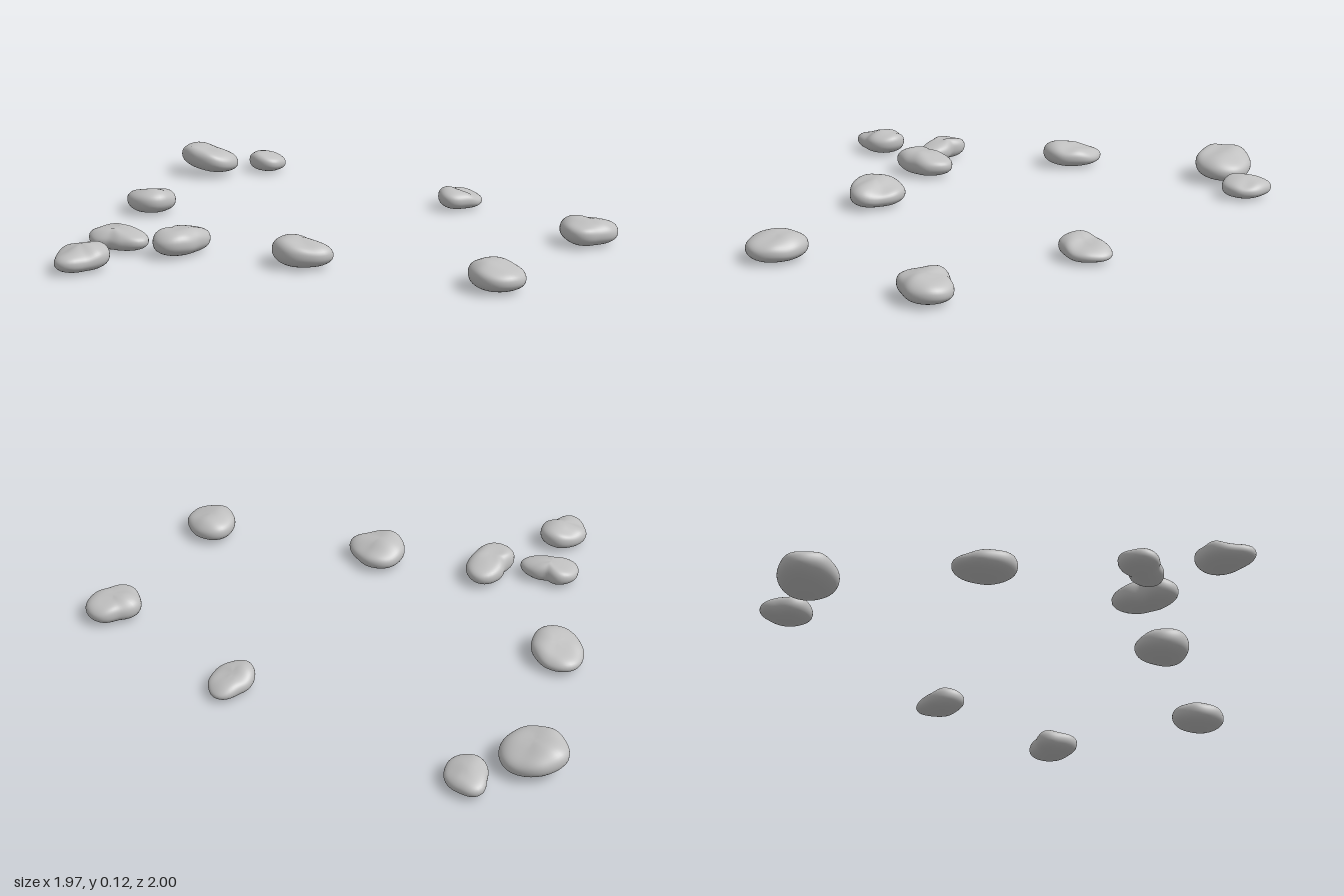
import * as THREE from 'three';
import { mergeVertices } from 'three/addons/utils/BufferGeometryUtils.js';

// x, z: centre; h: height; tx, tz: slope of the top along x and z; lift: how far the -x side is raised;
// r: outline radii in hundredths, every 45 degrees from +x towards +z
const STONES = [
  { x: -0.18, z: -0.89, h: 0.098, tx: -0.1, tz: 0, lift: 0.014, r: [11.1, 11.6, 11.1, 9.8, 10.5, 12.3, 10.8, 10.2] },
  { x: 0.06, z: -0.89, h: 0.074, tx: -0.2, tz: 0.05, lift: 0, r: [7.4, 7.9, 9.0, 8.0, 7.4, 7.2, 9.8, 7.8] },
  { x: -0.52, z: -0.38, h: 0.083, tx: -0.05, tz: 0.24, lift: 0, r: [9.0, 9.8, 11.2, 10.3, 9.0, 10.0, 11.6, 10.0] },
  { x: 0.61, z: -0.11, h: 0.07, tx: -0.3, tz: 0.05, lift: 0, r: [9.0, 8.2, 7.8, 9.5, 8.3, 7.4, 7.4, 10.4] },
  { x: -0.73, z: 0.1, h: 0.077, tx: 0.05, tz: -0.1, lift: 0, r: [8.2, 12.0, 8.0, 6.2, 9.5, 10.6, 9.2, 5.4] },
  { x: -0.53, z: 0.21, h: 0.092, tx: -0.05, tz: 0.05, lift: 0, r: [10.5, 8.0, 9.2, 11.8, 9.8, 6.0, 8.5, 12.2] },
  { x: -0.17, z: 0.46, h: 0.094, tx: -0.18, tz: 0.05, lift: 0, r: [9.4, 12.2, 9.9, 9.6, 9.5, 10.1, 10.6, 10.0] },
  { x: -0.89, z: 0.31, h: 0.083, tx: 0.15, tz: -0.05, lift: 0, r: [9.5, 8.8, 8.3, 11.8, 9.2, 8.6, 8.0, 9.2] },
  { x: 0.88, z: 0.48, h: 0.09, tx: -0.1, tz: 0, lift: 0, r: [10.4, 9.6, 8.6, 11.0, 10.1, 10.4, 7.7, 9.8] },
  { x: 0.37, z: 0.89, h: 0.09, tx: -0.1, tz: -0.05, lift: 0, r: [9.0, 10.3, 10.6, 10.0, 9.0, 9.5, 10.6, 9.5] },
];

// Smooth radius at any angle, by a closed cubic through the eight given radii
function radiusAt(r, angle) {
  const t = ((angle / (Math.PI / 4)) % 8 + 8) % 8;
  const i = Math.floor(t), f = t - i;
  const [a, b, c, d] = [7, 0, 1, 2].map((k) => r[(i + k) % 8]);
  return (b + 0.5 * f * (c - a + f * (2 * a - 5 * b + 4 * c - d + f * (3 * (b - c) + d - a)))) / 100;
}

// A flattened pebble: sphere reshaped by its outline, slope and shallow dents
function stoneGeometry(s, seed) {
  let geo = new THREE.SphereGeometry(1, 48, 24);
  geo.deleteAttribute('uv');
  geo.deleteAttribute('normal');
  geo = mergeVertices(geo, 1e-4);
  const p = geo.attributes.position;
  for (let i = 0; i < p.count; i++) {
    const sx = p.getX(i), sy = p.getY(i), sz = p.getZ(i);
    const angle = Math.atan2(sz, sx);
    const flat = Math.min(1, Math.hypot(sx, sz)) ** 0.78;
    const radius = radiusAt(s.r, angle) * flat;
    const u = Math.cos(angle) * flat, v = Math.sin(angle) * flat;
    const level = (1 + Math.sign(sy) * Math.abs(sy) ** 0.88) / 2;
    const dent = 0.05 * Math.sin(3.1 * u + seed * 1.7) * Math.cos(3.7 * v + seed * 2.3)
      + 0.03 * Math.sin(5 * u - 4 * v + seed);
    const height = s.h * (1 + s.tx * u + s.tz * v + dent);
    p.setXYZ(i, radius * Math.cos(angle), 0.004 + height * level + s.lift * (1 - u), radius * Math.sin(angle));
  }
  geo.computeVertexNormals();
  return geo;
}

export function createModel() {
  const group = new THREE.Group();
  group.name = 'scatteredStones';
  const stone = new THREE.MeshStandardMaterial({ color: 0xc0c0c0 });
  stone.name = 'stoneGrey';
  STONES.forEach((s, i) => {
    const mesh = new THREE.Mesh(stoneGeometry(s, i + 1), stone);
    mesh.name = `stone${i + 1}`;
    mesh.position.set(s.x, 0, s.z);
    group.add(mesh);
  });
  return group;
}
